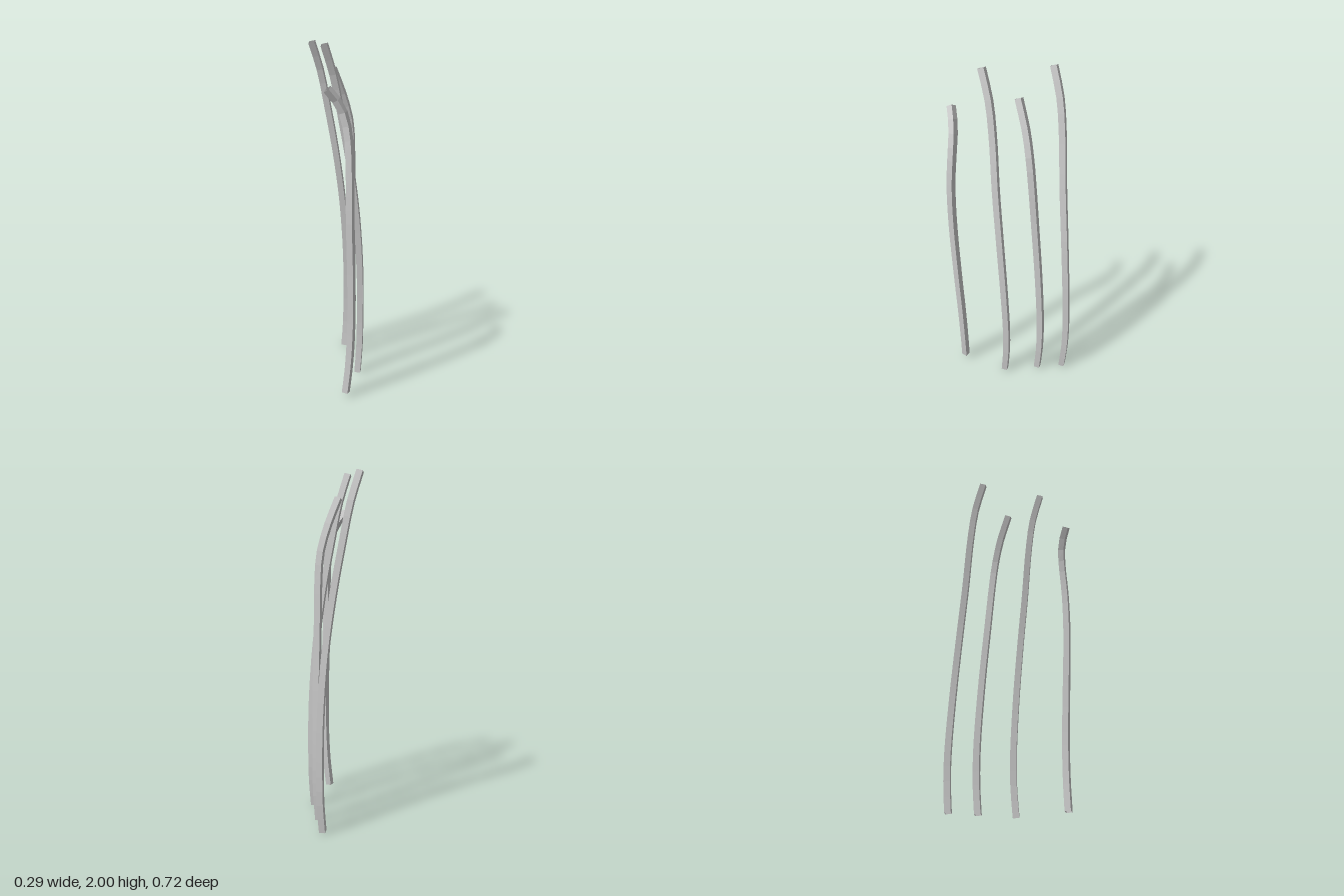
import * as THREE from 'three';

const material = new THREE.MeshStandardMaterial({
  color: 0xcccccc, flatShading: true, side: THREE.DoubleSide,
});
const HALF_DIAGONAL = 0.025;
const SEGMENTS = 24;

// Sweeps an open square tube along a path; angle (degrees) turns the square about its axis.
function squareStem(name, points, angle) {
  const curve = new THREE.CatmullRomCurve3(points.map((p) => new THREE.Vector3(...p)));
  const a = THREE.MathUtils.degToRad(angle + 45);
  const reference = new THREE.Vector3(Math.cos(a), 0, Math.sin(a));
  const positions = [];
  const indices = [];
  for (let i = 0; i <= SEGMENTS; i++) {
    const center = curve.getPointAt(i / SEGMENTS);
    const tangent = curve.getTangentAt(i / SEGMENTS);
    const u = reference.clone().addScaledVector(tangent, -reference.dot(tangent)).normalize();
    const v = new THREE.Vector3().crossVectors(tangent, u);
    for (let k = 0; k < 4; k++) {
      const t = (k * Math.PI) / 2;
      const p = center.clone()
        .addScaledVector(u, Math.cos(t) * HALF_DIAGONAL)
        .addScaledVector(v, Math.sin(t) * HALF_DIAGONAL);
      positions.push(p.x, p.y, p.z);
      if (i < SEGMENTS) {
        const b = i * 4 + k;
        const c = i * 4 + ((k + 1) % 4);
        indices.push(b, c, c + 4, b, c + 4, b + 4);
      }
    }
  }
  const geometry = new THREE.BufferGeometry();
  geometry.setAttribute('position', new THREE.Float32BufferAttribute(positions, 3));
  geometry.setIndex(indices);
  geometry.computeVertexNormals();
  const mesh = new THREE.Mesh(geometry, material);
  mesh.name = name;
  return mesh;
}

export function createModel() {
  const group = new THREE.Group();
  group.name = 'stems';

  // Two matching tall stems, from the foot up
  const tall = [
    [0.107, 0.006, -0.323], [0.12, 0.17, -0.332], [0.123, 0.34, -0.333], [0.117, 0.65, -0.32],
    [0.088, 1.02, -0.3], [0.042, 1.34, -0.284], [-0.01, 1.62, -0.277],
    [-0.055, 1.83, -0.262], [-0.11, 1.99, -0.23],
  ];
  group.add(squareStem('tallStemBack', tall, 23));
  const tallFront = squareStem('tallStemFront', tall, 23);
  tallFront.position.z = 0.375;
  group.add(tallFront);

  // Middle stem, straighter with a bent top
  group.add(squareStem('middleStem', [
    [0.107, 0.006, -0.161], [0.12, 0.18, -0.17], [0.122, 0.39, -0.17], [0.117, 0.76, -0.151],
    [0.105, 1.13, -0.124], [0.098, 1.39, -0.104], [0.084, 1.55, -0.09],
    [0.04, 1.7, -0.072], [-0.025, 1.852, -0.04],
  ], 27));

  // Short front stem with a sharply hooked top
  group.add(squareStem('shortStem', [
    [-0.025, 0.026, 0.304], [-0.007, 0.2, 0.307], [0.003, 0.44, 0.314], [0, 0.72, 0.326],
    [-0.012, 1.1, 0.338], [-0.013, 1.36, 0.335], [-0.021, 1.55, 0.319],
    [-0.042, 1.65, 0.308], [-0.08, 1.72, 0.306], [-0.128, 1.777, 0.31],
  ], 38));

  return group;
}
